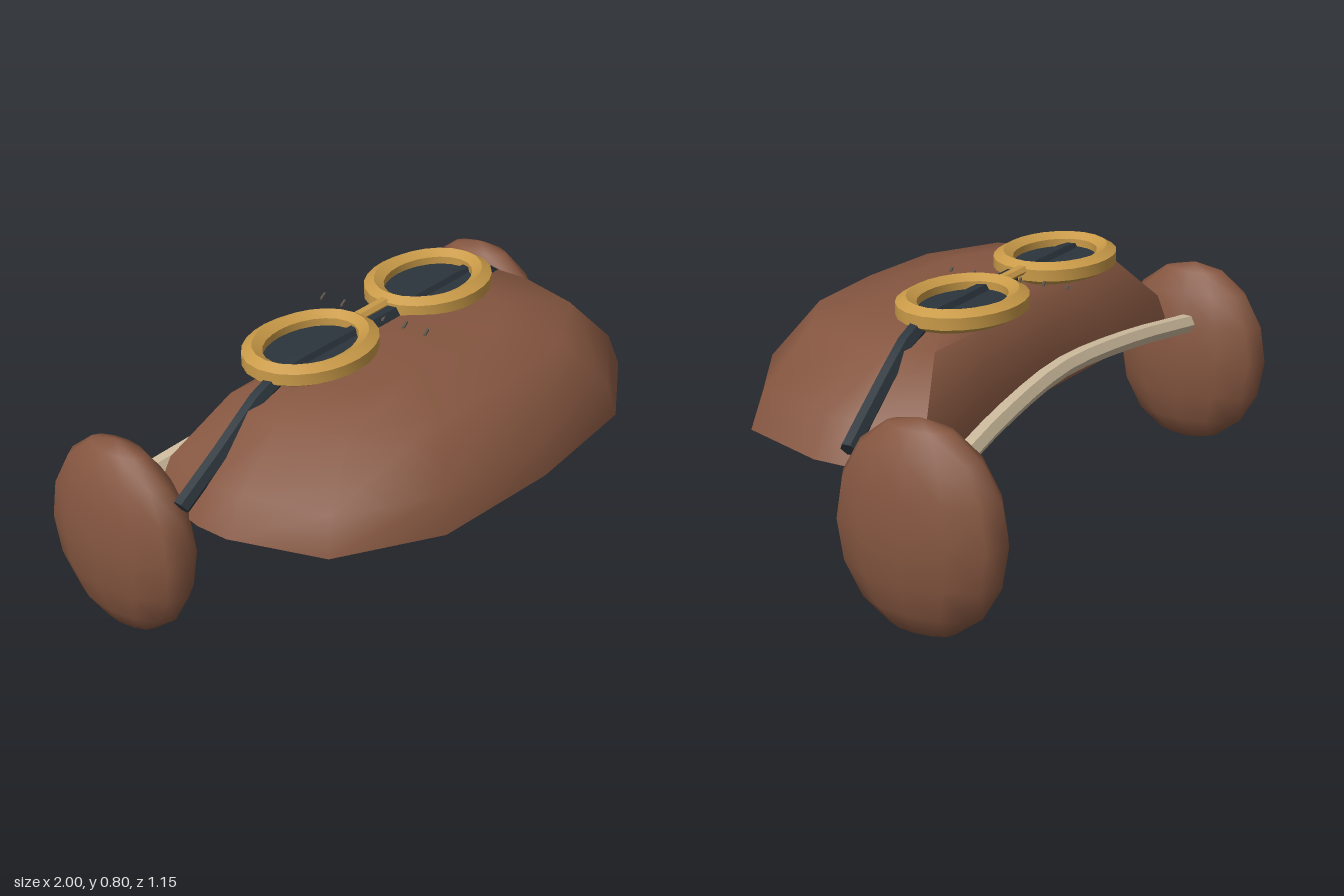
import * as THREE from 'three';
import { toCreasedNormals } from 'three/addons/utils/BufferGeometryUtils.js';

const mat = (name, color, extra = {}) => {
  const m = new THREE.MeshStandardMaterial({ color, ...extra });
  m.name = name;
  return m;
};
const v = (x, y, z) => new THREE.Vector3(x, y, z);

export function createModel() {
  const leather = mat('brown leather', 0x855640);
  const brass = mat('brass', 0xc99a48);
  const dark = mat('dark strap', 0x2b353c);
  const cream = mat('cream trim', 0xcdbb9d);
  const thread = mat('stitch thread', 0x5c564e);

  const model = new THREE.Group();
  model.name = 'flyingCap';
  const add = (name, geometry, material, parent = model) => {
    const mesh = new THREE.Mesh(geometry, material);
    mesh.name = name;
    parent.add(mesh);
    return mesh;
  };

  // Faceted cord with closed ends
  const cord = (name, points, radius, segments, material) => {
    const group = new THREE.Group();
    group.name = name;
    model.add(group);
    const curve = new THREE.CatmullRomCurve3(points);
    const tube = new THREE.TubeGeometry(curve, segments, radius, 6);
    add(name + 'Body', toCreasedNormals(tube, 0.6), material, group);
    for (const t of [0, 1]) {
      const cap = add(name + 'End', new THREE.CircleGeometry(radius, 6), material, group);
      const p = curve.getPointAt(t);
      cap.position.copy(p);
      cap.lookAt(p.clone().addScaledVector(curve.getTangentAt(t), t ? 1 : -1));
    }
  };

  // Crown: half outlines [x, z] from front to back at rising heights
  const levels = [
    [0.43, [[0, 0.575], [0.44, 0.54], [0.74, 0.36], [0.84, 0.07], [0.84, -0.04], [0.79, -0.25], [0.4, -0.235], [0, -0.22]]],
    [0.54, [[0, 0.555], [0.42, 0.515], [0.7, 0.34], [0.78, 0.07], [0.78, -0.04], [0.74, -0.235], [0.38, -0.225], [0, -0.215]]],
    [0.70, [[0, 0.43], [0.31, 0.41], [0.55, 0.28], [0.61, 0.07], [0.61, -0.04], [0.56, -0.155], [0.3, -0.16], [0, -0.16]]],
    [0.738, [[0, 0.25], [0.2, 0.24], [0.35, 0.17], [0.39, 0.05], [0.39, -0.03], [0.35, -0.08], [0.2, -0.09], [0, -0.09]]],
  ];
  const rings = levels.map(([y, half]) => {
    const mirrored = half.slice(1, -1).reverse().map(([x, z]) => [-x, z]);
    return [...half, ...mirrored].map(([x, z]) => [x, y, z]);
  });
  const n = rings[0].length;
  const tris = [];
  for (let i = 0; i < n; i++) {
    const j = (i + 1) % n;
    for (let k = 0; k < rings.length - 1; k++) {
      const [lo, hi] = [rings[k], rings[k + 1]];
      tris.push(lo[i], lo[j], hi[j], lo[i], hi[j], hi[i]);
    }
    const top = rings[rings.length - 1];
    tris.push(top[i], top[j], [0, 0.755, 0.04]);
    tris.push([0, 0.43, 0.1], rings[0][j], rings[0][i]);
  }
  const crown = new THREE.BufferGeometry();
  crown.setAttribute('position', new THREE.Float32BufferAttribute(tris.flat(), 3));
  add('crown', toCreasedNormals(crown, 0.9), leather);

  // Ear flaps and goggle eyepieces, one per side
  for (const side of [1, -1]) {
    const label = side > 0 ? 'left' : 'right';

    const flap = new THREE.SphereGeometry(1, 12, 8);
    flap.scale(0.122, 0.317, 0.27);
    add(label + 'EarFlap', flap, leather).position.set(side * 0.878, 0.32, -0.305);

    const eyepiece = new THREE.Group();
    eyepiece.name = label + 'Eyepiece';
    eyepiece.position.set(side * 0.285, 0.763, -0.083);
    model.add(eyepiece);

    const oval = [];
    for (let i = 0; i < 24; i++) {
      const a = (i / 24) * Math.PI * 2;
      oval.push(v(Math.cos(a) * 0.2, 0, Math.sin(a) * 0.152));
    }
    const rim = new THREE.TubeGeometry(new THREE.CatmullRomCurve3(oval, true), 24, 0.036, 6, true);
    add('rim', toCreasedNormals(rim, 0.6), brass, eyepiece);

    const lens = new THREE.CylinderGeometry(1, 1, 0.012, 24);
    lens.scale(0.185, 1, 0.137);
    add('lens', lens, dark, eyepiece).position.y = -0.012;
  }

  // Bridge between the eyepieces
  const bridge = new THREE.CylinderGeometry(0.02, 0.02, 0.16, 6);
  bridge.rotateZ(Math.PI / 2);
  bridge.scale(1, 0.7, 1.1);
  add('bridge', toCreasedNormals(bridge, 0.6), brass).position.set(0, 0.776, -0.085);

  // Strap over the crown and down to the ear flaps
  cord('strap', [
    v(-0.87, 0.495, -0.07), v(-0.7, 0.61, -0.06), v(-0.5, 0.735, -0.055), v(-0.25, 0.75, -0.055),
    v(0, 0.748, -0.05),
    v(0.25, 0.75, -0.055), v(0.5, 0.735, -0.055), v(0.7, 0.61, -0.06), v(0.87, 0.495, -0.07),
  ], 0.027, 20, dark);

  // Fleece trim along the nape
  cord('napeTrim', [
    v(-0.77, 0.45, -0.33), v(-0.4, 0.49, -0.29), v(0, 0.51, -0.265), v(0.4, 0.49, -0.29), v(0.77, 0.45, -0.33),
  ], 0.032, 12, cream);

  // Row of small stitches along the middle
  for (let i = 0; i < 6; i++) {
    const stitch = add('stitch', new THREE.BoxGeometry(0.04, 0.006, 0.007), thread);
    stitch.position.set(0, 0.763, 0.128 - i * 0.081);
    stitch.rotation.y = 0.4;
  }
  return model;
}
